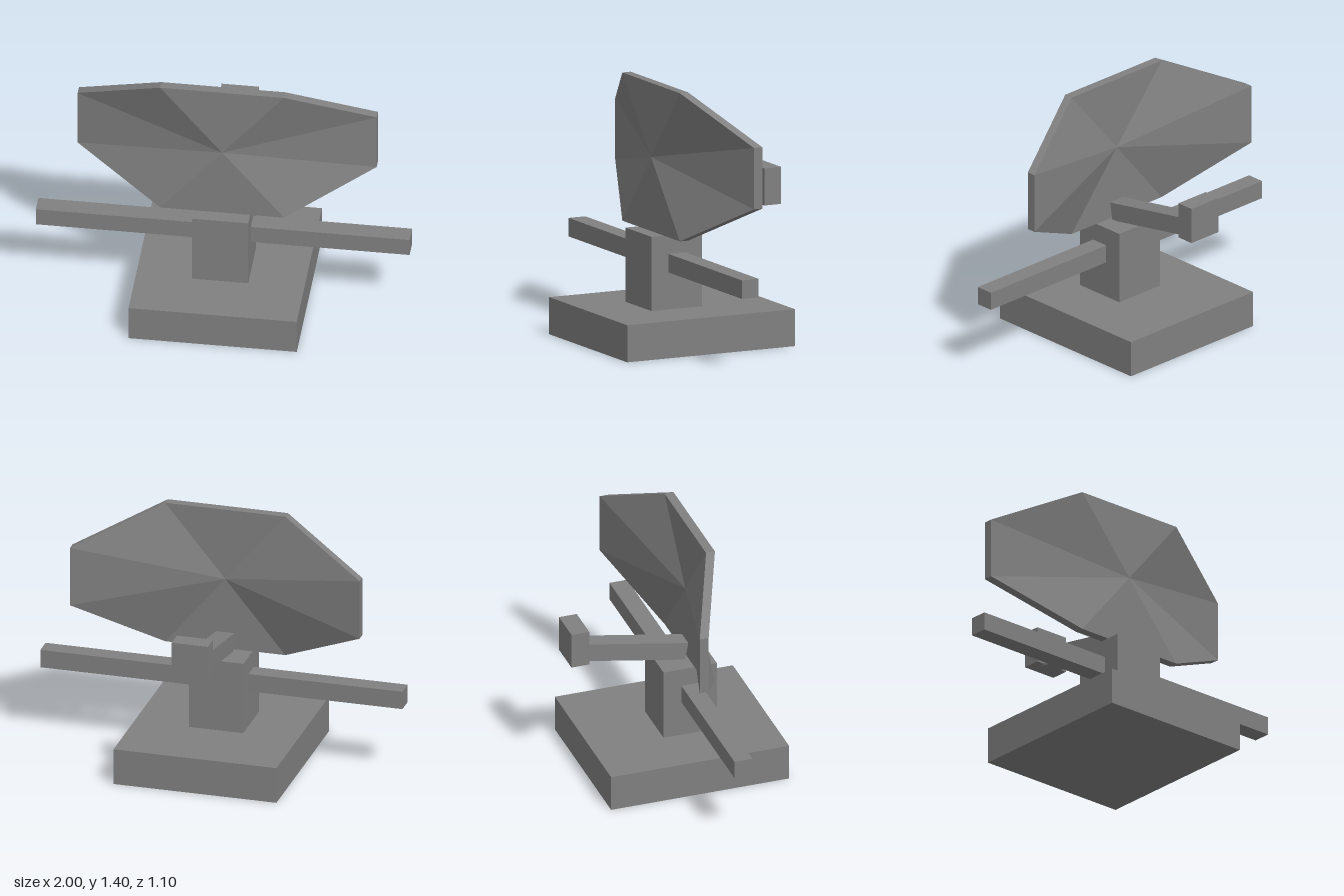
import * as THREE from 'three';

const grey = new THREE.MeshStandardMaterial({ color: 0x808080 });
grey.name = 'grey';

function box(name, size, position) {
  const mesh = new THREE.Mesh(new THREE.BoxGeometry(...size), grey);
  mesh.name = name;
  mesh.position.set(...position);
  return mesh;
}

// Eight-sided fan whose left and right ends sweep backwards, given a thickness
function dishGeometry() {
  const sides = 8, thickness = 0.05, frontZ = 0.175, midY = 1;
  const scale = 1 / Math.cos(Math.PI / 8);
  const rim = [];
  for (let i = 0; i < sides; i++) {
    const a = (i + 0.5) * Math.PI * 2 / sides;
    const x = Math.cos(a) * 0.8 * scale;
    const y = midY + Math.sin(a) * 0.4 * scale;
    rim.push([x, y, Math.abs(x) > 0.5 ? frontZ - 0.2 : frontZ]);
  }
  const back = ([x, y, z]) => [x, y, z - thickness];
  const centre = [0, midY, frontZ];
  const points = [];
  rim.forEach((p, i) => {
    const q = rim[(i + 1) % sides];
    points.push(centre, p, q); // front facet
    points.push(back(centre), back(q), back(p)); // rear facet
    points.push(p, back(p), back(q), p, back(q), q); // edge
  });
  const geometry = new THREE.BufferGeometry();
  geometry.setAttribute('position', new THREE.Float32BufferAttribute(points.flat(), 3));
  geometry.computeVertexNormals();
  return geometry;
}

export function createModel() {
  const model = new THREE.Group();
  model.name = 'radarAntenna';

  // Base and pedestal
  model.add(box('base', [0.9, 0.2, 1], [0, 0.1, 0.05]));
  model.add(box('pedestal', [0.3, 0.4, 0.3], [0, 0.4, 0.1]));

  // Side bars
  for (const side of [-1, 1]) {
    model.add(box(side > 0 ? 'leftBar' : 'rightBar', [0.85, 0.1, 0.1], [side * 0.575, 0.45, 0.1]));
  }

  // Reflector dish
  const dish = new THREE.Mesh(dishGeometry(), grey);
  dish.name = 'dish';
  model.add(dish);

  // Sloping feed arm with the receiver at its end
  const arm = box('feedArm', [0.1, 0.1, 0.62], [0, 0.698, -0.19]);
  arm.rotation.x = THREE.MathUtils.degToRad(10);
  model.add(arm);
  model.add(box('receiver', [0.2, 0.2, 0.1], [0, 0.8, -0.5]));

  return model;
}
